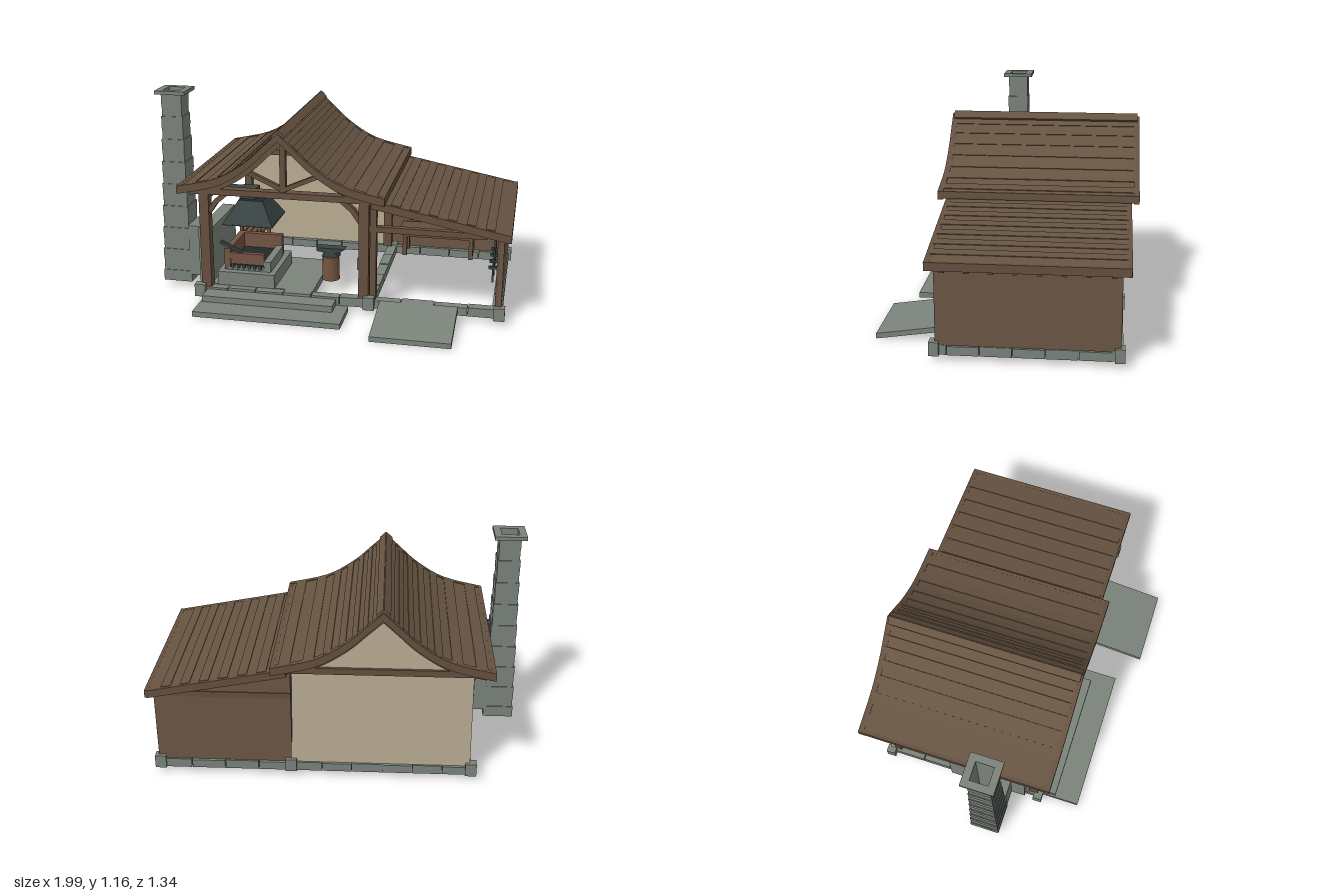
import * as THREE from 'three';

const mat = (name, color) => { const m = new THREE.MeshStandardMaterial({ color }); m.name = name; return m; };

export function createModel() {
  const root = new THREE.Group();
  root.name = 'smithy';
  const M = {
    roof: mat('roof wood', 0x675442), timber: mat('timber', 0x65503f), wall: mat('plank wall', 0x6c5746),
    plaster: mat('plaster', 0xbaad93), stone: mat('stone', 0x7b837b), iron: mat('iron', 0x3a4444),
    stump: mat('stump wood', 0x74543f), brick: mat('forge brick', 0x735443), coal: mat('coal', 0x25292a),
  };

  const add = (name, geo, m, parent = root) => {
    const o = new THREE.Mesh(geo, m);
    o.name = name;
    parent.add(o);
    return o;
  };
  // Box given by its limits
  const box = (name, m, x0, x1, y0, y1, z0, z1) => {
    const o = add(name, new THREE.BoxGeometry(x1 - x0, y1 - y0, z1 - z0), m);
    o.position.set((x0 + x1) / 2, (y0 + y1) / 2, (z0 + z1) / 2);
    return o;
  };
  // Outline in x and y, pushed along z
  const prism = (name, m, pts, z0, z1, hole) => {
    const s = new THREE.Shape(pts.map(p => new THREE.Vector2(p[0], p[1])));
    if (hole) s.holes.push(new THREE.Path(hole.map(p => new THREE.Vector2(p[0], p[1]))));
    const g = new THREE.ExtrudeGeometry(s, { depth: z1 - z0, bevelEnabled: false });
    g.translate(0, 0, z0);
    return add(name, g, m);
  };
  // Straight timber between two points in the xy plane
  const beam = (name, m, x0, y0, x1, y1, t, z0, z1) => {
    const o = box(name, m, 0, Math.hypot(x1 - x0, y1 - y0), 0, t, z0, z1);
    o.position.set((x0 + x1) / 2, (y0 + y1) / 2, (z0 + z1) / 2);
    o.rotation.z = Math.atan2(y1 - y0, x1 - x0);
    return o;
  };

  // Stone footing, laid in blocks
  const footing = (x0, x1, z0, z1) => {
    const alongX = x1 - x0 > z1 - z0, len = alongX ? x1 - x0 : z1 - z0;
    const n = Math.round(len / 0.17), s = len / n;
    for (let i = 0; i < n; i++) {
      const top = 0.076 + 0.004 * (i % 2), a = i * s, b = a + s - 0.004;
      if (alongX) box('footingStone', M.stone, x0 + a, x0 + b, 0.03, top, z0, z1);
      else box('footingStone', M.stone, x0, x1, 0.03, top, z0 + a, z0 + b);
    }
  };
  for (const z of [-0.6, 0.265]) { footing(-0.72, 0.24, z, z + 0.055); footing(0.24, 0.965, z, z + 0.055); }
  for (const x of [-0.72, 0.215, 0.91]) footing(x, x + 0.055, -0.545, 0.265);
  for (const x of [-0.715, 0.245, 0.95]) {
    for (const z of [-0.585, 0.325]) box('cornerStone', M.stone, x - 0.03, x + 0.03, 0.028, 0.1, z - 0.025, z + 0.025);
  }
  box('forgeFloor', M.stone, -0.67, -0.08, 0.04, 0.08, -0.22, 0.27);

  // Front steps and ramp
  box('lowerStep', M.stone, -0.69, 0.13, 0, 0.03, 0.32, 0.56);
  box('upperStep', M.stone, -0.68, 0.06, 0.03, 0.065, 0.32, 0.42);
  const ramp = prism('ramp', M.stone, [[0.32, 0.052], [0.67, 0], [0.67, 0.028], [0.32, 0.08]], -0.73, -0.305);
  ramp.rotation.y = -Math.PI / 2;
  ramp.scale.z = -1;
  ramp.geometry.scale(1, 1, -1);
  ramp.scale.z = 1;
  // Turn the ramp faces outward again after mirroring
  const rp = ramp.geometry.attributes.position;
  for (let i = 0; i < rp.count; i += 3) {
    const a = new THREE.Vector3().fromBufferAttribute(rp, i), b = new THREE.Vector3().fromBufferAttribute(rp, i + 1);
    rp.setXYZ(i, b.x, b.y, b.z);
    rp.setXYZ(i + 1, a.x, a.y, a.z);
  }
  ramp.geometry.computeVertexNormals();
  ramp.geometry.rotateY(-Math.PI / 2);
  ramp.rotation.y = 0;
  ramp.geometry.computeBoundingBox();
  const bb = ramp.geometry.boundingBox;
  ramp.position.x = 0.517 - (bb.min.x + bb.max.x) / 2;

  // Sweeping main roof: height over distance from the ridge
  const RX = -0.235;
  const curve = new THREE.SplineCurve([[0, 1.005], [0.075, 0.935], [0.185, 0.835], [0.345, 0.74], [0.57, 0.685]]
    .map(p => new THREE.Vector2(p[0], p[1]))).getPoints(16);
  const half = (drop, max = 1) => curve.filter(p => p.x <= max).map(p => [p.x, p.y - drop]);
  const both = h => [...h.slice().reverse().map(p => [RX - p[0], p[1]]), ...h.slice(1).map(p => [RX + p[0], p[1]])];
  const band = (top, bottom, max) => [...both(half(bottom, max)), ...both(half(top, max)).reverse()];
  prism('mainRoof', M.roof, band(0, 0.03), -0.66, 0.39);
  for (const z of [-0.672, 0.375]) prism('bargeBoard', M.timber, band(-0.004, 0.04), z, z + 0.03);
  for (const z of [-0.61, 0.27]) prism('principalRafter', M.timber, band(0.03, 0.078, 0.54), z, z + 0.05);
  beam('ridgeCapLeft', M.roof, RX - 0.03, 0.985, RX + 0.004, 1.018, 0.018, -0.66, 0.395);
  beam('ridgeCapRight', M.roof, RX - 0.004, 1.018, RX + 0.03, 0.985, 0.018, -0.66, 0.395);
  for (const x of [-0.805, 0.315]) box('eaveBoard', M.timber, x, x + 0.02, 0.65, 0.69, -0.665, 0.395);
  for (let i = 2; i < curve.length - 1; i += 2) {
    for (const s of [-1, 1]) {
      const a = curve[i], b = curve[i + 1];
      beam('shingleCourse', M.roof, RX + s * a.x, a.y, RX + s * b.x, b.y, 0.008, -0.655, 0.385);
    }
  }

  // Lean-to roof with laid courses
  const leanY = x => 0.655 - (x - 0.27) * 0.195;
  prism('leanToRoof', M.roof, [[0.25, leanY(0.25) - 0.03], [0.985, leanY(0.985) - 0.03], [0.985, leanY(0.985)], [0.25, leanY(0.25)]], -0.62, 0.35);
  for (const z of [-0.632, 0.335]) beam('leanToBarge', M.timber, 0.26, leanY(0.26) - 0.02, 0.99, leanY(0.99) - 0.02, 0.042, z, z + 0.027);
  box('leanToEave', M.timber, 0.975, 0.997, 0.475, 0.518, -0.63, 0.36);
  for (let x = 0.36; x < 0.95; x += 0.1) beam('leanToCourse', M.roof, x, leanY(x), x + 0.05, leanY(x + 0.05), 0.008, -0.615, 0.345);
  for (let i = 0; i < 8; i++) {
    const z = -0.56 + i * 0.118;
    beam('rafter', M.timber, 0.26, leanY(0.26) - 0.045, 0.975, leanY(0.975) - 0.045, 0.03, z, z + 0.025);
  }

  // Walls
  prism('backWall', M.plaster, [[-0.71, 0.08], [0.24, 0.08], ...both(half(0.04, 0.475)).reverse()], -0.59, -0.565);
  prism('leanToBackWall', M.wall, [[0.24, 0.08], [0.96, 0.08], [0.96, 0.49], [0.24, 0.63]], -0.59, -0.565);
  box('leanToSideWall', M.wall, 0.94, 0.96, 0.08, 0.5, -0.59, 0.32);

  // Main frame with its trusses
  for (const x of [-0.71, 0.185]) box('frontPost', M.timber, x, x + 0.055, 0.08, 0.63, 0.265, 0.32);
  box('backPost', M.timber, -0.705, -0.66, 0.08, 0.63, -0.565, -0.53);
  box('backPost', M.timber, 0.19, 0.24, 0.08, 0.63, -0.565, -0.53);
  for (const z of [-0.605, 0.265]) {
    box('tieBeam', M.timber, -0.76, 0.29, 0.625, 0.66, z, z + 0.055);
    box('leanToBeam', M.timber, 0.24, 0.87, 0.468, 0.5, z + 0.01, z + 0.045);
  }
  for (const x of [-0.71, 0.19]) box('wallPlate', M.timber, x, x + 0.05, 0.59, 0.628, -0.56, 0.32);
  box('kingPost', M.timber, RX - 0.016, RX + 0.016, 0.66, 0.94, 0.275, 0.31);
  for (const s of [-1, 1]) {
    beam('strut', M.timber, RX + s * 0.01, 0.675, RX + s * 0.19, 0.755, 0.024, 0.278, 0.306);
    beam('kneeBrace', M.timber, RX + s * 0.425, 0.52, RX + s * 0.38, 0.585, 0.028, 0.275, 0.31);
    beam('kneeBrace', M.timber, RX + s * 0.39, 0.575, RX + s * 0.32, 0.635, 0.028, 0.275, 0.31);
  }
  box('leanToPost', M.timber, 0.245, 0.28, 0.08, 0.63, 0.27, 0.31);
  box('leanToCornerPost', M.timber, 0.925, 0.958, 0.08, 0.49, 0.28, 0.32);

  // Hollow tapering chimney
  const square = r => [[-r, -r], [r, -r], [r, r], [-r, r]];
  const course = (name, r, inner, y, h) => {
    const o = prism(name, M.stone, square(r), 0, h, square(inner).reverse());
    o.rotation.x = -Math.PI / 2;
    o.position.set(-0.91, y, 0.085);
  };
  const N = 17, H = 1.105 / N;
  for (let i = 0; i < N; i++) course('chimneyCourse', 0.085 - 0.026 * i / (N - 1) - (i % 2) * 0.003, 0.048, 0.035 + i * H, H);
  course('chimneyCap', 0.087, 0.048, 1.138, 0.02);
  box('flueBlock', M.stone, -0.835, -0.72, 0.08, 0.38, 0, 0.17);
  box('fireWall', M.stone, -0.745, -0.67, 0.08, 0.4, -0.2, 0.25);

  // Forge
  box('forgeBase', M.stone, -0.63, -0.3, 0.08, 0.16, -0.12, 0.28);
  box('forgeBed', M.stone, -0.58, -0.34, 0.16, 0.175, -0.07, 0.24);
  box('forgeBack', M.brick, -0.6, -0.565, 0.16, 0.285, -0.07, 0.24);
  box('forgeSide', M.brick, -0.565, -0.335, 0.16, 0.285, -0.07, -0.035);
  box('forgeSide', M.brick, -0.565, -0.37, 0.195, 0.26, 0.205, 0.235);
  box('forgeLip', M.stone, -0.37, -0.33, 0.16, 0.22, -0.035, 0.24);
  box('coalBed', M.coal, -0.565, -0.37, 0.175, 0.2, -0.035, 0.2);
  for (let i = 0; i < 6; i++) box('grateBar', M.iron, -0.56 + i * 0.032, -0.545 + i * 0.032, 0.165, 0.195, 0.2, 0.243);
  beam('tongs', M.iron, -0.63, 0.315, -0.47, 0.24, 0.018, 0.2, 0.22);

  // Smoke hood and duct
  const hood = new THREE.CylinderGeometry(0.07 * Math.SQRT2, 0.145 * Math.SQRT2, 0.125, 4, 1, true).toNonIndexed();
  hood.rotateY(Math.PI / 4);
  hood.computeVertexNormals();
  const hoodMat = M.iron;
  hoodMat.side = THREE.DoubleSide;
  add('hood', hood, hoodMat).position.set(-0.465, 0.487, 0.085);
  box('hoodRim', M.iron, -0.61, -0.32, 0.42, 0.426, -0.06, 0.23);
  box('hoodNeck', M.iron, -0.535, -0.44, 0.55, 0.61, 0.04, 0.13);
  box('duct', M.iron, -0.875, -0.44, 0.558, 0.61, 0.055, 0.115);

  // Bellows on a stand, with a wood rack
  for (let i = 0; i < 3; i++) box('bellowsBoard', M.stump, -0.64, -0.49, 0.29 + i * 0.036, 0.308 + i * 0.036, -0.4, -0.15);
  box('bellowsBag', M.brick, -0.62, -0.52, 0.3, 0.37, -0.38, -0.17);
  for (const x of [-0.63, -0.52]) for (const z of [-0.39, -0.18]) box('bellowsLeg', M.stump, x, x + 0.02, 0.08, 0.29, z, z + 0.02);
  for (const y of [0.1, 0.145, 0.195]) {
    for (const x of [-0.66, -0.625, -0.59]) box('rackPlank', M.stump, x, x + 0.028, y, y + 0.018, -0.52, -0.25);
  }

  // Anvil on its stump
  add('stump', new THREE.CylinderGeometry(0.048, 0.052, 0.14, 12), M.stump).position.set(-0.022, 0.15, 0.06);
  prism('anvil', M.iron, [[-0.07, 0.22], [0.03, 0.22], [0.025, 0.232], [0.005, 0.243], [0.035, 0.252], [0.065, 0.272],
    [-0.1, 0.272], [-0.1, 0.252], [-0.07, 0.248], [-0.05, 0.24], [-0.065, 0.232]], 0.03, 0.09);

  // Quench trough
  box('troughFloor', M.stone, 0.105, 0.185, 0.085, 0.1, -0.2, -0.08);
  for (const x of [0.105, 0.173]) box('troughSide', M.stone, x, x + 0.012, 0.085, 0.155, -0.2, -0.08);
  for (const z of [-0.2, -0.092]) box('troughEnd', M.stone, 0.117, 0.173, 0.085, 0.155, z, z + 0.012);

  // Workbench with hanging hammers
  box('benchTop', M.timber, 0.31, 0.775, 0.228, 0.248, -0.545, -0.38);
  box('benchRail', M.timber, 0.34, 0.75, 0.2, 0.215, -0.41, -0.395);
  for (const x of [0.33, 0.73]) for (const z of [-0.535, -0.415]) box('benchLeg', M.timber, x, x + 0.025, 0.08, 0.228, z, z + 0.025);
  for (let i = 0; i < 5; i++) {
    const x = 0.36 + i * 0.074, top = 0.34 + (i % 2) * 0.022;
    box('hammerHandle', M.iron, x - 0.005, x + 0.005, 0.255, top, -0.555, -0.545);
    box('hammerHead', M.iron, x - 0.02, x + 0.02, top - 0.012, top + 0.006, -0.562, -0.54);
  }

  // Tools on the side wall
  box('toolRail', M.timber, 0.915, 0.94, 0.2, 0.22, -0.35, 0.05);
  for (let i = 0; i < 4; i++) {
    const z = -0.3 + i * 0.1;
    box('toolBar', M.iron, 0.89, 0.9, 0.11, 0.31 - 0.02 * i, z, z + 0.012);
    box('toolHook', M.iron, 0.87, 0.915, 0.19, 0.205, z - 0.004, z + 0.016);
  }
  return root;
}
